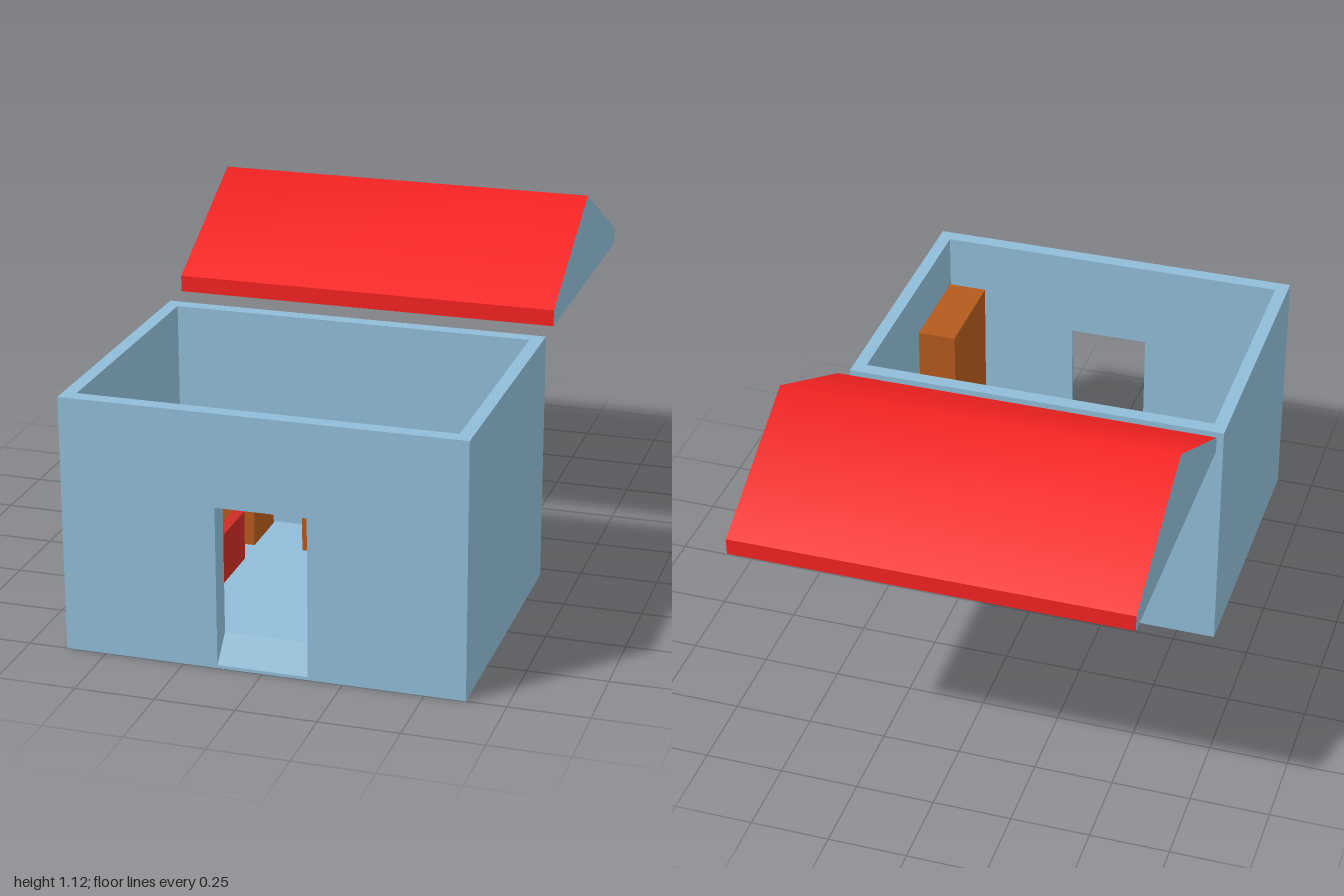
import * as THREE from 'three';

const BLUE = 0x90bdd8, RED = 0xf42222, WOOD = 0xb45a1c, CHAIR_RED = 0xcc2c24;
const FLOOR = 0.1;

const mat = (color) => new THREE.MeshStandardMaterial({ color });

function addMesh(parent, name, geometry, color) {
  const mesh = new THREE.Mesh(geometry, mat(color));
  mesh.name = name;
  parent.add(mesh);
  return mesh;
}

// Box given by its extents on each axis
function box(parent, name, color, [x0, x1], [y0, y1], [z0, z1]) {
  const g = new THREE.BoxGeometry(x1 - x0, y1 - y0, z1 - z0);
  g.translate((x0 + x1) / 2, (y0 + y1) / 2, (z0 + z1) / 2);
  return addMesh(parent, name, g, color);
}

function extrude(points, depth) {
  const shape = new THREE.Shape(points.map(([a, b]) => new THREE.Vector2(a, b)));
  return new THREE.ExtrudeGeometry(shape, { depth, bevelEnabled: false });
}

// Profile drawn in (z, y), extruded along x and centred
function alongX(points, width) {
  const g = extrude(points.map(([z, y]) => [-z, y]), width);
  return g.rotateY(Math.PI / 2).translate(-width / 2, 0, 0);
}

function createHouse() {
  const house = new THREE.Group();
  house.name = 'house';
  const X = 0.627, XI = 0.585, Z0 = 0.05, ZI0 = 0.096, ZI1 = 0.953, Z1 = 1, H = 0.815;
  const doorTop = 0.52;

  box(house, 'floor', BLUE, [-XI, XI], [0, FLOOR], [ZI0, ZI1]);
  box(house, 'backWall', BLUE, [-XI, XI], [0, H], [Z0, ZI0]);
  box(house, 'leftWall', BLUE, [XI, X], [0, H], [Z0, Z1]);
  box(house, 'rightWall', BLUE, [-X, -XI], [0, H], [Z0, Z1]);

  // Front wall: a pier on each side of the splayed doorway, and the wall above
  for (const s of [-1, 1]) {
    const plan = [[s * 0.133, -ZI1], [s * XI, -ZI1], [s * XI, -Z1], [s * 0.142, -Z1]];
    const pier = extrude(plan, doorTop).rotateX(-Math.PI / 2);
    addMesh(house, s > 0 ? 'frontWallLeft' : 'frontWallRight', pier, BLUE);
  }
  box(house, 'frontWallTop', BLUE, [-XI, XI], [doorTop, H], [ZI1, Z1]);

  // Sloping threshold up to the floor
  addMesh(house, 'doorRamp', alongX([[ZI1, 0], [Z1, 0], [Z1, 0.01], [ZI1, FLOOR]], 0.284), BLUE);
  return house;
}

function createRoof() {
  const roof = new THREE.Group();
  roof.name = 'roof';
  const X = 0.627, base = 0.815, eave = 0.868, ridge = 1.115;
  const zFront = -0.055, zRidge = -0.527, zBack = -1;

  // Slopes share the ridge vertices, so shading is smooth across it
  const pos = [], index = [];
  [[zFront, eave], [zRidge, ridge], [zBack, eave]].forEach(([z, y], i) => {
    pos.push(-X, y, z, X, y, z);
    if (i < 2) {
      const a = 2 * i;
      index.push(a, a + 1, a + 3, a, a + 3, a + 2);
    }
  });
  const slopes = new THREE.BufferGeometry();
  slopes.setAttribute('position', new THREE.Float32BufferAttribute(pos, 3));
  slopes.setIndex(index);
  slopes.computeVertexNormals();
  addMesh(roof, 'roofSlopes', slopes, RED);

  // Upright eave edges
  for (const [name, z, turn] of [['frontEave', zFront, 0], ['backEave', zBack, Math.PI]]) {
    const g = new THREE.PlaneGeometry(2 * X, eave - base).rotateY(turn);
    addMesh(roof, name, g.translate(0, (base + eave) / 2, z), RED);
  }

  // Gable ends
  const gable = new THREE.Shape([
    [-zFront, base], [-zBack, base], [-zBack, eave], [-zRidge, ridge], [-zFront, eave],
  ].map(([a, b]) => new THREE.Vector2(a, b)));
  for (const s of [-1, 1]) {
    const g = new THREE.ShapeGeometry(gable).rotateY(Math.PI / 2).translate(s * X, 0, 0);
    addMesh(roof, s > 0 ? 'leftGable' : 'rightGable', g, BLUE).material.side = THREE.DoubleSide;
  }

  // Flat underside
  const under = new THREE.PlaneGeometry(2 * X, zFront - zBack).rotateX(Math.PI / 2);
  addMesh(roof, 'roofUnderside', under.translate(0, base, (zFront + zBack) / 2), 0xcccccc);
  return roof;
}

// Chair facing -z with a seat, two low arms and a taller back
function createChair(name, color, [x0, x1], [z0, z1], arm, back, seatTop) {
  const chair = new THREE.Group();
  chair.name = name;
  const armTop = 0.262, backTop = 0.35;
  box(chair, 'seat', color, [x0 + arm, x1 - arm], [FLOOR, seatTop], [z0, z1 - back]);
  box(chair, 'rightArm', color, [x0, x0 + arm], [FLOOR, armTop], [z0, z1]);
  box(chair, 'leftArm', color, [x1 - arm, x1], [FLOOR, armTop], [z0, z1]);
  box(chair, 'backrest', color, [x0 + arm, x1 - arm], [FLOOR, backTop], [z1 - back, z1]);
  return chair;
}

function createFurniture() {
  const set = new THREE.Group();
  set.name = 'furniture';

  box(set, 'desk', WOOD, [-0.1, 0.232], [FLOOR, 0.262], [0.1, 0.3]);
  box(set, 'wardrobe', WOOD, [0.45, 0.58], [FLOOR, 0.645], [0.59, 0.93]);

  // Television on its stand
  box(set, 'televisionStand', WOOD, [-0.475, -0.26], [FLOOR, 0.262], [0.11, 0.305]);
  box(set, 'television', 0x2b2b2b, [-0.462, -0.274], [0.262, 0.42], [0.147, 0.27]);

  set.add(createChair('deskChair', WOOD, [0.016, 0.138], [0.32, 0.44], 0.023, 0.022, 0.2));
  set.add(createChair('armchair', CHAIR_RED, [-0.473, -0.255], [0.415, 0.618], 0.037, 0.04, 0.2));

  // Bed with two pillows
  box(set, 'bed', 0xb8aa4c, [0.37, 0.573], [FLOOR, 0.2], [0.2, 0.488]);
  box(set, 'rightPillow', 0xd487aa, [0.37, 0.467], [FLOOR, 0.22], [0.103, 0.2]);
  box(set, 'leftPillow', 0xd487aa, [0.474, 0.573], [FLOOR, 0.22], [0.103, 0.2]);
  return set;
}

export function createModel() {
  const model = new THREE.Group();
  model.name = 'houseWithOpenRoof';
  model.add(createHouse(), createRoof(), createFurniture());
  return model;
}
